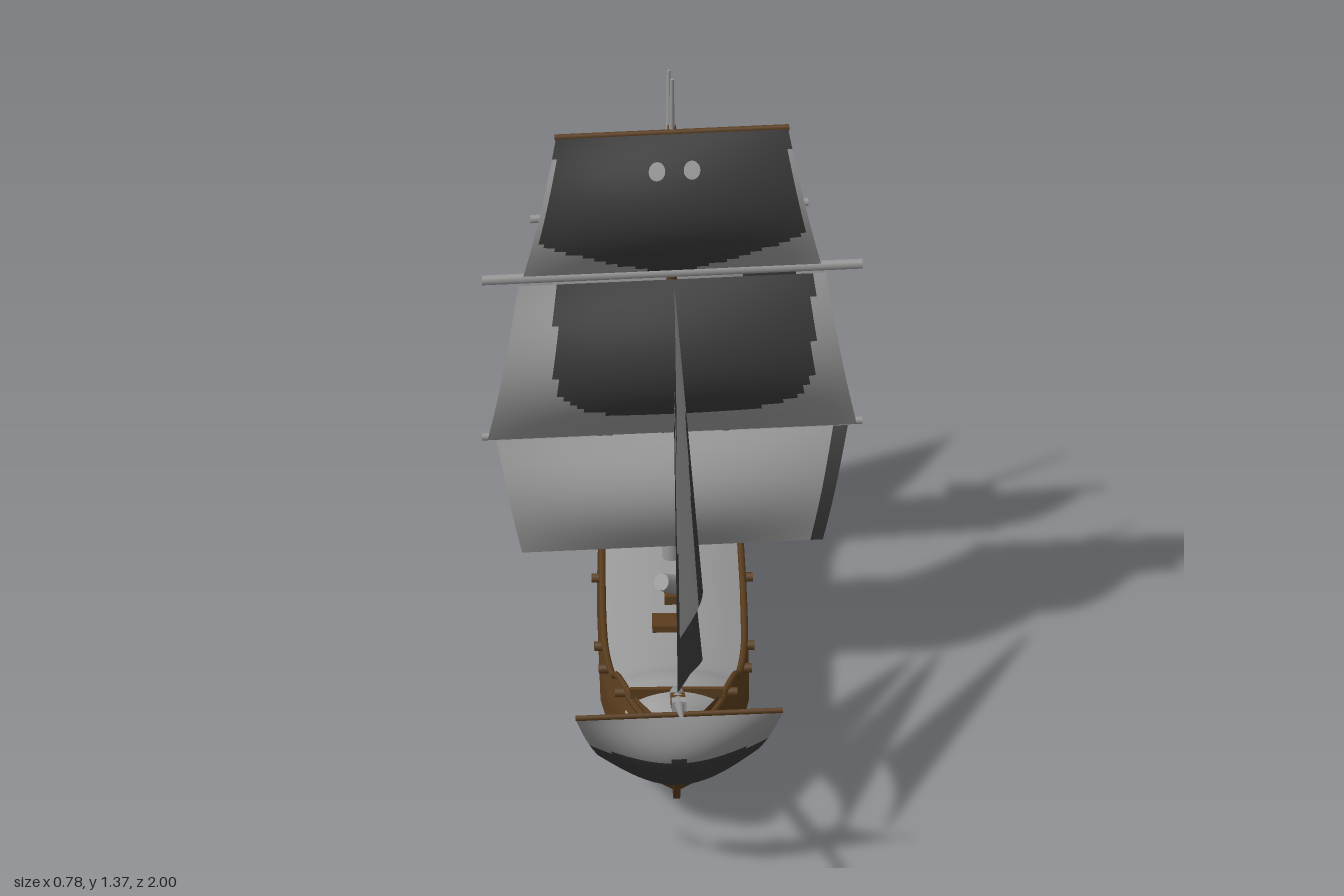
import * as THREE from 'three';

const mat = (name, color, side = THREE.FrontSide) => {
  const m = new THREE.MeshStandardMaterial({ color, side });
  m.name = name;
  return m;
};
const { sin, abs, PI } = Math;
const lerp = THREE.MathUtils.lerp;
const V = (x, y, z) => new THREE.Vector3(x, y, z);

export function createModel() {
  const ship = new THREE.Group();
  ship.name = 'sailingShip';
  const grey = mat('pale grey', 0x989898);
  const dark = mat('charcoal', 0x3a3a3a);
  const brown = mat('dark wood', 0x5a3d1e);
  const palette = [grey, dark, brown];
  const GREY = 0, DARK = 1, BROWN = 2;

  const add = (name, geo, material) => {
    const m = new THREE.Mesh(geo, material);
    m.name = name;
    ship.add(m);
    return m;
  };

  // Thin two-faced surface; paint(u, v, p, isBack) picks a colour for each cell
  function sheet(name, f, paint, back, nu = 24, nv = 16) {
    const pos = [], buckets = [[], [], []], row = nu + 1, n = row * (nv + 1);
    for (let side = 0; side < 2; side++)
      for (let j = 0; j <= nv; j++)
        for (let i = 0; i <= nu; i++) {
          const p = f(i / nu, j / nv).addScaledVector(back, side);
          pos.push(p.x, p.y, p.z);
        }
    for (let j = 0; j < nv; j++)
      for (let i = 0; i < nu; i++) {
        const u = (i + 0.5) / nu, v = (j + 0.5) / nv, p = f(u, v);
        const a = j * row + i, b = a + 1, c = a + row + 1, d = a + row;
        buckets[paint(u, v, p, false)].push(a, b, c, a, c, d);
        buckets[paint(u, v, p, true)].push(n + a, n + c, n + b, n + a, n + d, n + c);
      }
    const g = new THREE.BufferGeometry();
    g.setAttribute('position', new THREE.Float32BufferAttribute(pos, 3));
    g.setIndex(buckets.flat());
    let start = 0;
    buckets.forEach((b, k) => {
      if (b.length) g.addGroup(start, b.length, k);
      start += b.length;
    });
    g.computeVertexNormals();
    return add(name, g, palette);
  }

  // Tapered round pole between two points
  function pole(name, a, b, r0, r1, material, sides = 10) {
    const m = add(name, new THREE.CylinderGeometry(r1, r0, a.distanceTo(b), sides), material);
    m.position.copy(a).lerp(b, 0.5);
    m.quaternion.setFromUnitVectors(V(0, 1, 0), b.clone().sub(a).normalize());
    return m;
  }
  function box(name, w, h, d, x, y, z, material) {
    const m = add(name, new THREE.BoxGeometry(w, h, d), material);
    m.position.set(x, y, z);
    return m;
  }
  // Side outline given as [z, y], extruded across x
  function plate(name, outline, x, thick, material) {
    const s = new THREE.Shape(outline.map(([z, y]) => new THREE.Vector2(z, y)));
    const g = new THREE.ExtrudeGeometry(s, { depth: thick, bevelEnabled: false });
    g.translate(0, 0, -thick / 2).rotateY(-PI / 2).translate(x, 0, 0);
    return add(name, g, material);
  }
  function table(rows, t) {
    let i = 0;
    while (i < rows.length - 2 && rows[i + 1][0] < t) i++;
    const k = (t - rows[i][0]) / (rows[i + 1][0] - rows[i][0]);
    return rows[i].map((a, n) => lerp(a, rows[i + 1][n], k));
  }

  // Hull stations: z, half width, rail height, keel height, sharpness
  const stations = [
    [-0.94, 0.118, 0.31, 0.18, 1.2], [-0.8, 0.125, 0.303, 0.07, 1.5], [-0.67, 0.138, 0.3, 0.03, 1.3],
    [-0.63, 0.143, 0.277, 0.025, 1.2], [-0.3, 0.153, 0.255, 0.014, 1], [0.1, 0.152, 0.245, 0.014, 1],
    [0.22, 0.137, 0.247, 0.015, 1.2], [0.25, 0.13, 0.265, 0.016, 1.3], [0.34, 0.1, 0.262, 0.035, 1.7],
    [0.41, 0.05, 0.25, 0.085, 1.8], [0.48, 0.008, 0.25, 0.17, 1.5],
  ];
  const section = [[0, 0], [0.12, 0.62], [0.3, 0.9], [0.5, 1], [0.75, 1], [1, 0.92]];
  const hullPoint = (side) => (u, v) => {
    const z = lerp(0.48, -0.94, side > 0 ? u : 1 - u);
    const [, w, rail, keel, sharp] = table(stations, z);
    return V(side * w * Math.pow(table(section, v)[1], sharp), lerp(keel, rail, v), z);
  };
  const bandTop = [[-0.94, 0.21], [-0.7, 0.15], [-0.5, 0.12], [0.1, 0.11], [0.22, 0.07], [0.3, 0.085], [0.34, 0.03]];
  const bandLow = [[-0.94, 0.16], [-0.75, 0.075], [-0.6, 0.03], [0.2, 0.018], [0.34, 0.03]];
  const hullPaint = (u, v, p, back) =>
    !back && p.z < 0.33 && p.y < table(bandTop, p.z)[1] && p.y > table(bandLow, p.z)[1] ? GREY : BROWN;
  for (const s of [1, -1])
    sheet(s > 0 ? 'hullLeft' : 'hullRight', hullPoint(s), hullPaint, V(-0.004 * s, 0, 0), 64, 22);

  // Cambered deck
  sheet('deck', (u, v) => {
    const z = lerp(0.46, -0.95, v), [, w, rail] = table(stations, z), x = 2 * u - 1;
    return V(x * w * 0.9, rail - 0.014 + 0.024 * (1 - x * x), z);
  }, () => GREY, V(0, -0.005, 0), 10, 48);

  // Rails, knobs and head rails on both sides
  for (const s of [1, -1]) {
    const pts = stations.slice(0, 9).map(([z, w, y]) => V(s * w * 0.93, y, z));
    add('rail', new THREE.TubeGeometry(new THREE.CatmullRomCurve3(pts), 50, 0.007, 6), brown);
    for (const z of [0.3, 0.16, 0.06, -0.23, -0.45, -0.6, -0.75]) {
      const [, w, y] = table(stations, z);
      pole('sideKnob', V(s * w * 0.9, y - 0.014, z), V(s * (w + 0.012), y - 0.014, z), 0.01, 0.01, brown, 8);
    }
    for (const [y, m] of [[0.255, brown], [0.215, grey]]) {
      const c = new THREE.QuadraticBezierCurve3(V(s * 0.1, y, 0.32), V(s * 0.06, y - 0.03, 0.42), V(s * 0.006, y + 0.01, 0.51));
      add('headRail', new THREE.TubeGeometry(c, 12, 0.007, 6), m);
    }
    plate('quarterGallery', [[-0.83, 0.3], [-0.86, 0.24], [-0.9, 0.19], [-0.945, 0.19], [-0.995, 0.375], [-0.93, 0.31]], s * 0.117, 0.014, grey);
  }
  box('bowBulkhead', 0.19, 0.03, 0.012, 0, 0.262, 0.335, brown);
  box('quarterdeckStep', 0.24, 0.025, 0.01, 0, 0.295, -0.645, brown);

  // Keel, stem and rudder
  plate('keel', [[0.52, 0.265], [0.5, 0.2], [0.41, 0.08], [0.35, 0.03], [0.28, 0.005], [-0.88, 0], [-0.905, 0.18],
    [-0.8, 0.1], [-0.6, 0.035], [0.22, 0.03], [0.36, 0.09], [0.44, 0.19], [0.45, 0.25]], 0, 0.014, brown);

  // Raked stern board: pale inside, wood outside
  const half = [[0.06, 0.19], [0.105, 0.215], [0.125, 0.25], [0.125, 0.33], [0.1, 0.37], [0.05, 0.382]];
  const outline = [...half, ...half.map(([x, y]) => [-x, y]).reverse()].map(([x, y]) => new THREE.Vector2(x, y));
  [['sternBoard', -0.012, brown], ['sternLining', 0, grey]].forEach(([name, dz, m]) => {
    const g = new THREE.ExtrudeGeometry(new THREE.Shape(outline), { depth: 0.012, bevelEnabled: false });
    const p = g.attributes.position;
    for (let i = 0; i < p.count; i++) p.setZ(i, p.getZ(i) + dz - 0.93 - (p.getY(i) - 0.19) * 0.28);
    g.computeVertexNormals();
    add(name, g, m);
  });

  // Masts, bowsprit and platforms
  pole('mainMast', V(0, 0.24, -0.275), V(0, 0.72, -0.275), 0.02, 0.015, grey);
  pole('mainMastBack', V(0, 0.4, -0.292), V(0, 0.72, -0.292), 0.011, 0.01, brown);
  pole('mainTopmast', V(0, 0.6, -0.27), V(0, 1.26, -0.268), 0.013, 0.009, brown);
  pole('mainPole', V(0, 1.2, -0.263), V(0, 1.37, -0.263), 0.007, 0.004, grey);
  pole('mizzenMast', V(0, 0.27, -0.61), V(0, 0.88, -0.652), 0.017, 0.012, brown);
  pole('mizzenTopmast', V(0, 0.8, -0.646), V(0, 1.175, -0.68), 0.009, 0.004, grey);
  pole('bowsprit', V(0, 0.262, 0.33), V(0, 0.552, 1), 0.016, 0.004, grey);
  for (const z of [0.48, 0.55, 0.61, 0.66])
    box('bowspritBlock', 0.03, 0.022, 0.014, 0, 0.262 + (z - 0.33) * 0.433, z, z > 0.57 ? grey : brown);
  [[0.59, -0.3, 0.1], [0.925, -0.295, 0.08], [0.885, -0.655, 0.09]].forEach(([y, z, w]) =>
    box('mastPlatform', w, 0.012, 0.05, 0.005, y, z, brown));

  // Yards, swung slightly round the masts
  const yard = (name, y, z, len, slope, r, m) =>
    pole(name, V(-len, y, z - slope * len), V(len, y, z + slope * len), r, r, m, 8);
  yard('courseYard', 0.572, -0.25, 0.39, -0.08, 0.008, grey);
  yard('topsailYard', 0.93, -0.255, 0.39, -0.08, 0.011, grey);
  yard('topgallantYard', 1.25, -0.258, 0.24, -0.08, 0.007, brown);
  yard('mizzenYard', 0.875, -0.635, 0.285, -0.12, 0.009, grey);
  yard('mizzenLowerYard', 0.57, -0.605, 0.28, -0.12, 0.007, grey);
  yard('spritYard', 0.387, 0.665, 0.212, -0.07, 0.006, brown);

  // Square sails bellying forward
  const square = (y0, y1, w0, w1, z, slope, belly, lean = 0) => (u, v) => {
    const x = (2 * u - 1) * lerp(w0, w1, v);
    return V(x, lerp(y0, y1, v), z + slope * x + lean * (1 - v) + belly * sin(PI * v) * (0.5 + 0.5 * sin(PI * u)));
  };
  const aft = V(0, 0, -0.004);
  const topgallant = square(0.947, 1.25, 0.305, 0.238, -0.25, -0.08, 0.07, 0.02);
  sheet('topgallantSail', topgallant, (u, v, p, back) => {
    const x = abs(p.x);
    if (back) return GREY;
    return x > 0.235 + (1.25 - p.y) * 0.16 || p.y < 0.95 + (x - 0.05) * 0.36 ? GREY : DARK;
  }, aft, 48, 32);
  for (const c of [0.437, 0.58]) {
    const g = new THREE.CircleGeometry(1, 20), p = g.attributes.position;
    for (let i = 0; i < p.count; i++) {
      const q = topgallant(c + p.getX(i) * 0.034, 0.8 + p.getY(i) * 0.055);
      p.setXYZ(i, q.x, q.y, q.z + 0.003);
    }
    g.computeVertexNormals();
    add('paleSpot', g, grey);
  }
  sheet('topsail', square(0.575, 0.918, 0.378, 0.315, -0.245, -0.08, 0.085, 0.015), (u, v, p, back) => {
    if (back) return p.x < -0.12 && v < 0.3 ? DARK : GREY;
    const dx = abs(p.x - 0.025) / 0.265, dy = abs(p.y - 0.785) / 0.145;
    return p.y > 0.785 ? (dx < 1 ? DARK : GREY) : (dx ** 4 + dy ** 4 < 1 ? DARK : GREY);
  }, aft, 48, 32);
  sheet('courseSail', square(0.335, 0.57, 0.308, 0.36, -0.235, -0.08, 0.05, 0.05),
    (u, v, p, back) => (back ? (u > 0.88 ? GREY : DARK) : u > 0.94 ? DARK : GREY), aft);
  sheet('mizzenSail', square(0.585, 0.87, 0.27, 0.25, -0.625, -0.12, 0.06, 0.02),
    (u, v, p, back) => (back ? (v + 0.4 * u < 0.55 ? DARK : GREY) : u > 0.8 && v > 0.35 ? DARK : GREY), aft);
  sheet('spritSail', (u, v) => {
    const s = sin(PI * u), x = (2 * u - 1) * lerp(0.165, 0.212, v);
    return V(x, lerp(0.235 - 0.035 * s, 0.385, v),
      0.668 - 0.07 * x - (1 - v) * (0.13 - 0.08 * s) + 0.04 * sin(PI * v) * (0.4 + 0.6 * s));
  }, (u, v, p, back) => (back ? (u > 0.5 ? DARK : GREY) : p.y < 0.287 ? DARK : GREY), aft);

  // Three triangular head sails: tack, clew, head as [z, y]
  const jib = (name, tack, clew, head, paint) => sheet(name, (u, v) => {
    const w = 1 - v, k = (i) => lerp(lerp(tack[i], clew[i], u), head[i], v);
    return V(0.05 * u * w + 0.02 * sin(PI * u) * w, k(1) + 0.015 * sin(PI * u) * w, k(0));
  }, (u, v, p, back) => (back ? GREY : paint(u, v)), V(-0.004, 0, 0), 32, 32);
  jib('outerJib', [0.74, 0.6], [0.37, 0.54], [0.06, 1.06],
    (u, v) => (u > 0.45 && u < 0.93 && v < 0.6 && u - v * 0.3 > 0.35 ? DARK : GREY));
  jib('middleJib', [0.69, 0.47], [0.33, 0.345], [0.01, 0.8],
    (u, v) => (u < 0.12 && v > 0.45 ? GREY : DARK));
  jib('innerJib', [0.48, 0.34], [0.12, 0.285], [0, 0.72], () => DARK);

  // Fore-and-aft stern sail with its slanting spar
  sheet('spankerSail', (u, v) => V(
    0.01 + 0.035 * sin(PI * u) * (0.4 + 0.6 * sin(PI * v)),
    lerp(lerp(0.41, 0.4, u), lerp(0.53, 0.82, u), v),
    lerp(lerp(-0.66, -0.955, u), lerp(-0.665, -0.915, u), v)
  ), (u, v, p, back) => (back ? GREY : DARK), V(-0.004, 0, 0));
  pole('spankerSpar', V(0.005, 0.36, -0.49), V(0.005, 0.83, -0.92), 0.005, 0.006, brown, 8);

  // Tilted deck gun on a wooden carriage
  pole('deckGun', V(0.035, 0.268, -0.13), V(-0.025, 0.322, -0.05), 0.024, 0.018, grey, 12);
  box('gunCarriage', 0.06, 0.03, 0.06, 0.012, 0.262, -0.1, brown);
  box('deckHatch', 0.09, 0.014, 0.06, 0, 0.264, 0.02, brown);
  return ship;
}
